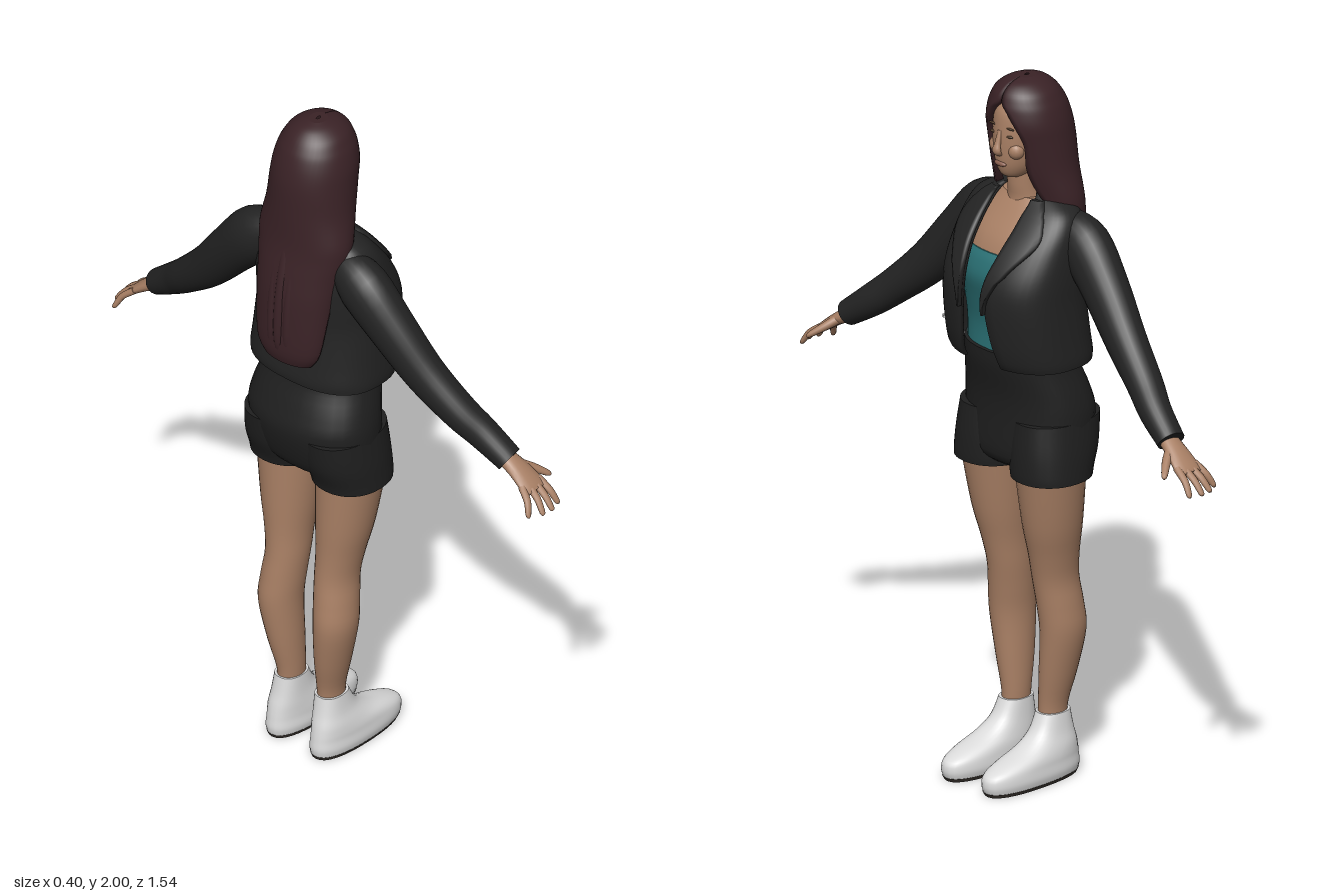
import * as THREE from 'three';

const paint = (name, color) => {
  const m = new THREE.MeshStandardMaterial({ color });
  m.name = name;
  return m;
};
const skin = paint('skin', 0xa87f64);
const hairBrown = paint('dark brown hair', 0x3a2226);
const jacketBlack = paint('jacket black', 0x232323);
const shortsBlack = paint('shorts black', 0x1f1f1f);
const teal = paint('teal', 0x2a7074);
const white = paint('shoe white', 0xdcdcdc);
const soleGrey = paint('sole grey', 0x3a342f);
const lipBrown = paint('lip brown', 0x8a5f4f);
const eyeBrown = paint('eye brown', 0x54402f);
const silver = paint('silver', 0xc8c8c8);

// Catmull-Rom interpolation of rows of numbers
function smooth(rows, steps = 4) {
  const out = [], last = rows.length - 1;
  const at = (i) => rows[Math.min(last, Math.max(0, i))];
  for (let i = 0; i < last; i++) {
    for (let s = 0; s < steps; s++) {
      const t = s / steps, t2 = t * t, t3 = t2 * t;
      out.push(rows[i].map((b, k) => {
        const a = at(i - 1)[k], c = at(i + 1)[k], d = at(i + 2)[k];
        return 0.5 * (2 * b + (c - a) * t + (2 * a - 5 * b + 4 * c - d) * t2 + (3 * b - a - 3 * c + d) * t3);
      }));
    }
  }
  out.push(rows[last]);
  return out;
}

// Skin over closed rings, with flat strips closing both ends
function skinRings(rings) {
  const n = rings[0].length, pos = rings.flat(2), idx = [];
  for (let i = 0; i < rings.length - 1; i++) {
    for (let j = 0; j < n; j++) {
      const k = (j + 1) % n, a = i * n + j, b = a + n, c = i * n + k, d = c + n;
      idx.push(a, b, c, c, b, d);
    }
  }
  [rings[0], rings[rings.length - 1]].forEach((ring, top) => {
    const o = pos.length / 3;
    pos.push(...ring.flat());
    for (let j = 0; j < n / 2 - 1; j++) {
      const a = o + j, b = o + j + 1, c = o + n - 1 - j, d = c - 1;
      if (top) idx.push(a, c, b, b, c, d);
      else idx.push(a, b, c, b, d, c);
    }
  });
  const g = new THREE.BufferGeometry();
  g.setAttribute('position', new THREE.Float32BufferAttribute(pos, 3));
  g.setIndex(idx);
  g.computeVertexNormals();
  return g;
}

const curve = (v, e) => Math.sign(v) * Math.abs(v) ** e;

// Upright solid; rows from the bottom: [y, xBack, xFront, zMin, zMax]
function loft(rows, e = 1, n = 32) {
  return skinRings(smooth(rows).map(([y, xb, xf, z0, z1]) => Array.from({ length: n }, (_, j) => {
    const a = (j / n) * Math.PI * 2;
    return [(xb + xf) / 2 + (xf - xb) / 2 * curve(Math.cos(a), e), y,
      (z0 + z1) / 2 + (z1 - z0) / 2 * curve(Math.sin(a), e)];
  })));
}
const centred = (rows, e) => loft(rows.map(([y, xb, xf, r]) => [y, xb, xf, -r, r]), e);
const sided = (rows, s, e) => loft(rows.map(([y, xb, xf, zi, zo]) => s > 0 ? [y, xb, xf, zi, zo] : [y, xb, xf, -zo, -zi]), e);

// Upright shell open at the front; rows: [y, xBack, xFront, halfWidth, opening in degrees]
function shell(rows, thick, e = 1, n = 44) {
  return skinRings(smooth(rows).map(([y, xb, xf, rz, open]) => {
    const cx = (xb + xf) / 2, rx = (xf - xb) / 2, a0 = THREE.MathUtils.degToRad(open);
    const arc = (t) => Array.from({ length: n }, (_, j) => {
      const a = a0 + (j / (n - 1)) * 2 * (Math.PI - a0);
      return [cx + (rx - t) * curve(Math.cos(a), e), y, (rz - t) * curve(Math.sin(a), e)];
    });
    return [...arc(0), ...arc(thick).reverse()];
  }));
}

// Limb along a path; rows: [x, y, z, radius along x, radius across], mirrored by s
function limb(rows, s = 1, n = 16) {
  const pts = smooth(rows.map(([x, y, z, a, b]) => [x, y, z * s, a, b]));
  const v = pts.map((p) => new THREE.Vector3(p[0], p[1], p[2]));
  return skinRings(pts.map((p, i) => {
    const d = v[Math.min(i + 1, v.length - 1)].clone().sub(v[Math.max(i - 1, 0)]).normalize();
    const u = new THREE.Vector3(1, 0, 0).addScaledVector(d, -d.x).normalize();
    const w = u.clone().cross(d);
    return Array.from({ length: n }, (_, j) => {
      const a = (j / n) * Math.PI * 2;
      return v[i].clone().addScaledVector(u, p[3] * Math.cos(a)).addScaledVector(w, p[4] * Math.sin(a)).toArray();
    });
  }));
}

export function createModel() {
  const model = new THREE.Group();
  model.name = 'standingWoman';
  const add = (name, geo, mat) => {
    const m = new THREE.Mesh(geo, mat);
    m.name = name;
    model.add(m);
    return m;
  };
  const blob = (name, mat, p, r) => {
    const m = add(name, new THREE.SphereGeometry(1, 16, 10), mat);
    m.position.set(...p);
    m.scale.set(...r);
  };

  // Head, neck and upper chest
  add('head', centred([[1.725, 0, 0.045, 0.022], [1.738, -0.05, 0.062, 0.04], [1.77, -0.09, 0.073, 0.06],
    [1.82, -0.11, 0.076, 0.072], [1.87, -0.12, 0.074, 0.076], [1.92, -0.11, 0.065, 0.07], [1.96, -0.09, 0.03, 0.05]]), skin);
  add('neck', centred([[1.58, -0.09, 0.04, 0.07], [1.65, -0.075, 0.025, 0.053], [1.7, -0.065, 0.028, 0.046], [1.78, -0.06, 0.03, 0.046]]), skin);
  add('chest', centred([[1.46, -0.11, 0.128, 0.15], [1.55, -0.105, 0.1, 0.15], [1.62, -0.09, 0.05, 0.13], [1.665, -0.08, 0.015, 0.08]], 0.9), skin);
  add('nose', limb([[0.07, 1.865, 0, 0.006, 0.007], [0.08, 1.83, 0, 0.008, 0.009], [0.084, 1.81, 0, 0.01, 0.014], [0.074, 1.797, 0, 0.006, 0.01]]), skin);
  blob('lips', lipBrown, [0.07, 1.77, 0], [0.009, 0.008, 0.022]);
  for (const s of [1, -1]) {
    blob('eye', eyeBrown, [0.066, 1.853, s * 0.031], [0.005, 0.004, 0.013]);
    blob('brow', eyeBrown, [0.066, 1.876, s * 0.032], [0.004, 0.003, 0.017]);
    blob('cheek', skin, [0.045, 1.81, s * 0.035], [0.024, 0.025, 0.024]);
  }

  // Long hair, parted around the face and falling down the back
  add('hair', shell([[1.29, -0.185, -0.1, 0.085, 100], [1.34, -0.195, -0.08, 0.11, 95], [1.48, -0.19, -0.04, 0.125, 92],
    [1.56, -0.18, -0.01, 0.135, 84], [1.62, -0.17, 0.01, 0.145, 62], [1.67, -0.165, 0.02, 0.146, 38], [1.75, -0.163, 0.05, 0.13, 31],
    [1.83, -0.16, 0.07, 0.122, 35], [1.88, -0.152, 0.08, 0.117, 28], [1.92, -0.14, 0.078, 0.107, 16], [1.945, -0.128, 0.072, 0.096, 4],
    [1.97, -0.11, 0.06, 0.08, 1], [1.99, -0.085, 0.035, 0.052, 0.5], [2, -0.055, 0, 0.024, 0.2]], 0.02), hairBrown);
  for (let i = -3; i <= 3; i++) {
    const z = i * 0.027, x = 0.011 * Math.abs(i) ** 1.5 / 2;
    add('hairLock', limb([[-0.172 + x, 1.3 + (i % 2) * 0.012, z * 0.9, 0.006, 0.007], [-0.183 + x, 1.36, z, 0.017, 0.017],
      [-0.178 + x, 1.5, z, 0.016, 0.017], [-0.155 + x, 1.66, z, 0.008, 0.014]]), hairBrown);
  }

  // Top and open jacket
  add('top', centred([[1.2, -0.12, 0.115, 0.155], [1.3, -0.11, 0.108, 0.16], [1.38, -0.11, 0.122, 0.16],
    [1.45, -0.11, 0.138, 0.16], [1.5, -0.11, 0.128, 0.155], [1.525, -0.1, 0.114, 0.14]], 0.9), teal);
  const body = [[1.215, -0.155, 0.14, 0.205, 15.5], [1.24, -0.157, 0.152, 0.207, 15], [1.3, -0.15, 0.166, 0.204, 12],
    [1.4, -0.14, 0.176, 0.2, 9], [1.47, -0.142, 0.164, 0.2, 10], [1.54, -0.138, 0.127, 0.197, 14], [1.6, -0.125, 0.08, 0.19, 17],
    [1.64, -0.112, 0.045, 0.17, 20], [1.665, -0.1, 0.02, 0.13, 28], [1.68, -0.09, 0.005, 0.09, 38]];
  add('jacketBody', shell(body, 0.012, 0.8), jacketBlack);

  // Lapels lie on the jacket front, widest at the notch
  const lapelWidth = [[0.006], [0.03], [0.055], [0.085], [0.068], [0.05], [0.03]];
  const front = smooth(body).filter((r) => r[0] > 1.37 && r[0] < 1.672);
  const widths = smooth(lapelWidth);
  for (const s of [1, -1]) {
    const rings = front.map(([y, xb, xf, rz, open], i) => {
      const w = widths[Math.round(i / (front.length - 1) * (widths.length - 1))][0];
      const z0 = rz * Math.sin(THREE.MathUtils.degToRad(open)) ** 0.8 - 0.004;
      const row = (lift) => Array.from({ length: 8 }, (_, k) => {
        const z = z0 + w * k / 7, q = Math.min(0.999, z / rz);
        return [(xb + xf) / 2 + (xf - xb) / 2 * (1 - q ** 2.5) ** 0.4 + lift, y, s * z];
      });
      const ring = [...row(0.012), ...row(-0.002).reverse()];
      return s > 0 ? ring : ring.reverse();
    });
    add('lapel', skinRings(rings), jacketBlack);
  }
  const pull = add('zipPull', new THREE.BoxGeometry(0.022, 0.007, 0.006), silver);
  pull.position.set(0.128, 1.3, 0.158);
  pull.rotation.set(0, 0.9, 0.2);

  // Shorts
  add('shortsHips', centred([[0.905, -0.1, 0.065, 0.13], [0.94, -0.145, 0.092, 0.19], [1.05, -0.176, 0.094, 0.199],
    [1.12, -0.162, 0.1, 0.19], [1.2, -0.133, 0.118, 0.168], [1.245, -0.128, 0.122, 0.163]], 0.9), shortsBlack);

  for (const s of [1, -1]) {
    add('shortsLeg', sided([[0.885, -0.125, 0.096, 0.005, 0.213], [0.91, -0.132, 0.098, 0.003, 0.212],
      [0.97, -0.155, 0.097, 0, 0.208], [1.05, -0.168, 0.09, 0.005, 0.197]], s, 0.92), shortsBlack);
    add('leg', sided([[0.13, -0.1, -0.01, 0.04, 0.108], [0.2, -0.1, -0.012, 0.036, 0.106], [0.3, -0.12, -0.006, 0.037, 0.13],
      [0.42, -0.135, 0, 0.04, 0.155], [0.5, -0.128, 0.008, 0.035, 0.152], [0.575, -0.118, 0.019, 0.03, 0.145],
      [0.65, -0.114, 0.035, 0.028, 0.155], [0.75, -0.115, 0.06, 0.02, 0.176], [0.92, -0.115, 0.088, 0.01, 0.2]], s), skin);

    // Shoe with ankle sock, and its sole
    add('shoe', sided([[0.01, -0.13, 0.195, 0.022, 0.134], [0.03, -0.133, 0.2, 0.018, 0.138], [0.055, -0.13, 0.192, 0.02, 0.136],
      [0.075, -0.127, 0.15, 0.022, 0.134], [0.1, -0.122, 0.075, 0.026, 0.128], [0.135, -0.113, 0.022, 0.03, 0.118],
      [0.185, -0.104, -0.006, 0.033, 0.11]], s, 0.85), white);
    add('sole', sided([[0, -0.126, 0.19, 0.026, 0.13], [0.011, -0.131, 0.197, 0.021, 0.135]], s, 0.85), soleGrey);

    // Sleeve
    add('sleeve', limb([[-0.055, 1.6, 0.12, 0.05, 0.05], [-0.06, 1.555, 0.19, 0.066, 0.077], [-0.05, 1.46, 0.28, 0.062, 0.07],
      [-0.03, 1.347, 0.38, 0.055, 0.06], [-0.005, 1.257, 0.48, 0.05, 0.05], [0.018, 1.203, 0.545, 0.045, 0.045],
      [0.035, 1.145, 0.625, 0.04, 0.036]], s, 24), jacketBlack);

    // Hand with spread fingers
    add('palm', limb([[0.033, 1.152, 0.6, 0.026, 0.024], [0.04, 1.125, 0.65, 0.034, 0.018],
      [0.044, 1.092, 0.695, 0.041, 0.014], [0.045, 1.08, 0.713, 0.036, 0.009]], s), skin);
    [[0.012, -0.014, 0.742], [0.034, 0.02, 0.762], [0.055, 0.052, 0.766], [0.075, 0.086, 0.755]].forEach(([x0, x1, z]) => {
      add('finger', limb([[x0, 1.096, 0.69, 0.011, 0.01], [(x0 + x1) / 2, 1.07, (0.7 + z) / 2, 0.01, 0.009],
        [x1, 1.04, z - 0.006, 0.008, 0.007], [x1, 1.034, z, 0.003, 0.003]], s, 10), skin);
    });
    add('thumb', limb([[0.05, 1.13, 0.64, 0.016, 0.014], [0.085, 1.11, 0.66, 0.013, 0.012],
      [0.117, 1.087, 0.686, 0.009, 0.008], [0.125, 1.08, 0.693, 0.003, 0.003]], s, 10), skin);
  }
  return model;
}
